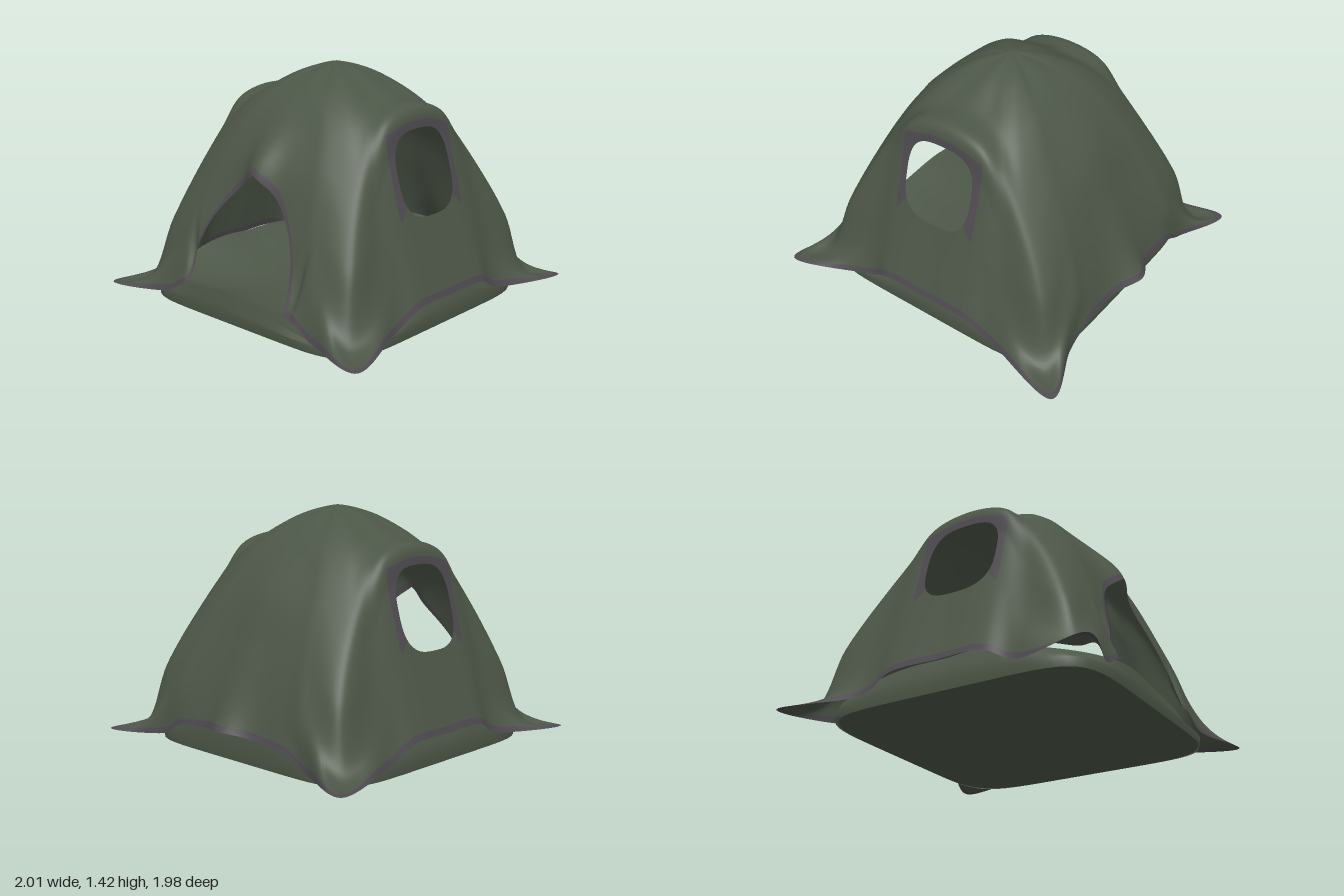
import * as THREE from 'three';

const cloth = new THREE.MeshStandardMaterial({ color: 0x4d5748, side: THREE.DoubleSide });
cloth.name = 'olive cloth';
const binding = new THREE.MeshStandardMaterial({ color: 0x4f4b51, side: THREE.DoubleSide });
binding.name = 'grey binding';

const APEX = [0, 1.44, 0];
// Seam lines of one quarter, apex to hem, from the side middle round to the front middle
const SEAMS = [
  [[.22, 1.355, 0], [.42, 1.245, 0], [.59, 1.21, 0], [.63, 1.02, 0], [.73, .65, 0], [.87, .17, 0]],
  [[.22, 1.345, .08], [.42, 1.225, .15], [.59, 1.165, .23], [.64, .97, .25], [.73, .64, .27], [.87, .165, .28]],
  [[.22, 1.34, .13], [.42, 1.2, .26], [.58, 1.03, .37], [.68, .7, .43], [.79, .3, .47], [.86, .07, .5]],
  [[.2, 1.34, .18], [.41, 1.16, .35], [.58, .84, .53], [.72, .46, .69], [.825, .085, .81], [1, .053, .955]],
  [[.14, 1.35, .19], [.29, 1.19, .38], [.4, .93, .55], [.48, .62, .69], [.56, .3, .8], [.62, .06, .87]],
  [[.09, 1.35, .19], [.19, 1.21, .38], [.28, .93, .57], [.33, .64, .69], [.37, .35, .79], [.41, .15, .86]],
  [[0, 1.36, .19], [0, 1.22, .38], [0, .97, .58], [0, .65, .69], [0, .35, .79], [0, .15, .87]],
];
const STEPS = 14, ROWS = 64, COLS = 24 * STEPS;
const bell = (d, w) => Math.exp(-((d / w) ** 2));

// Back is a copy of the front, fuller in its lower half
function place([x, y, z], sx, sz) {
  const fuller = .1 * Math.sin(Math.PI * (y / 1.44) ** .6);
  const k = sz > 0 ? 1 : 1 + fuller - .055 * (1 - Math.min(1, x * x / .9));
  return new THREE.Vector3(x * sx * (sz < 0 && x > .9 ? .975 : 1), y, z * sz * k);
}

// All 24 seams, mirrored around the four quarters
function allSeams() {
  const make = (i, sx, sz) => new THREE.CatmullRomCurve3([APEX, ...SEAMS[i]].map(p => place(p, sx, sz)));
  const list = [];
  for (let i = 0; i < 6; i++) list.push(make(i, 1, 1));
  for (let i = 6; i > 0; i--) list.push(make(i, -1, 1));
  for (let i = 0; i < 6; i++) list.push(make(i, -1, -1));
  for (let i = 6; i > 0; i--) list.push(make(i, 1, -1));
  return list;
}

// Rounded apex, pulled peaks over the door and at the back hem, a pleat beside each door edge
function drape(p, v) {
  p.y -= .024 * Math.exp(-Math.hypot(p.x, p.z) / .08);
  if (p.z > .3) {
    p.z += .07 * bell(p.x, .1) * bell(p.y - .85, .2);
    const pleat = Math.abs(p.x) - (.41 + .14 * (p.y - .2));
    p.z -= .03 * bell(pleat, .025) * bell(p.y - .3, .16);
  } else if (p.z < 0) {
    p.z -= .085 * bell(p.x, .13) * v ** 5;
    p.y += .05 * bell(p.x, .2) * v ** 5;
  }
  return p;
}

// Distance-like fields: [opening, bound edge], negative inside
function fields(p, hem) {
  let hole = 1, edge = p.distanceTo(hem) - .04;
  if (p.z > .3) {
    const s = Math.max(0, (p.y - .15) / .7);
    const door = Math.abs(p.x + .02 * Math.max(0, 1 - s)) - .395 * (1 - s ** 2.7);
    hole = door;
    edge = Math.min(edge, door - .018 - .045 * THREE.MathUtils.smoothstep(p.y, .55, .85));
  } else if (Math.abs(p.x) > .45) {
    const z = Math.abs(p.z - .01), y = Math.abs(p.y - .86);
    hole = (((z / .232) ** 3 + (y / .24) ** 3) ** (1 / 3) - 1) * .23;
    const top = 1.145 - .25 * Math.max(0, z - .08), bottom = .61 + 1.3 * (.28 - z);
    edge = Math.min(edge, Math.max(z - .28, p.y - top, bottom - p.y));
  }
  return [hole, edge];
}

// Keeps the part of a polygon where sign * field is positive
function clip(poly, f, sign) {
  const out = [];
  poly.forEach((a, i) => {
    const b = poly[(i + 1) % poly.length];
    const fa = a.f[f] * sign, fb = b.f[f] * sign;
    if (fa >= 0) out.push(a);
    if ((fa >= 0) !== (fb >= 0)) {
      const t = fa / (fa - fb);
      out.push({
        p: a.p.clone().lerp(b.p, t), n: a.n.clone().lerp(b.n, t).normalize(),
        f: a.f.map((q, j) => q + (b.f[j] - q) * t),
      });
    }
  });
  return out;
}

// Closed rings of points joined into an indexed surface with smooth normals
function ringSurface(rings) {
  const n = rings[0].length, index = [];
  for (let r = 0; r < rings.length - 1; r++) {
    for (let c = 0; c < n; c++) {
      const a = r * n + c, b = r * n + (c + 1) % n;
      index.push(a, b, a + n, b, b + n, a + n);
    }
  }
  const geo = new THREE.BufferGeometry().setFromPoints(rings.flat());
  geo.setIndex(index);
  geo.computeVertexNormals();
  return geo;
}

function namedMesh(geo, material, name) {
  const m = new THREE.Mesh(geo, material);
  m.name = name;
  return m;
}

// Canopy, cut by the door and windows and split into cloth and bound edges
function buildCanopy() {
  const seams = allSeams(), rings = [];
  for (let r = 0; r <= ROWS; r++) {
    const loop = new THREE.CatmullRomCurve3(seams.map(s => s.getPoint(r / ROWS)), true, 'catmullrom', .5);
    const ring = [];
    for (let c = 0; c < COLS; c++) {
      ring.push(drape(r ? loop.getPoint(c / COLS) : new THREE.Vector3(...APEX), r / ROWS));
    }
    rings.push(ring);
  }
  const full = ringSurface(rings), nor = full.attributes.normal;
  const verts = rings.flat().map((p, i) => ({
    p,
    n: i < COLS ? new THREE.Vector3(0, 1, 0) : new THREE.Vector3().fromBufferAttribute(nor, i),
    f: fields(p, rings[ROWS][i % COLS]),
  }));
  const idx = full.index.array;
  const part = (sign, material, name) => {
    const P = [], N = [];
    for (let i = 0; i < idx.length; i += 3) {
      const poly = clip(clip([verts[idx[i]], verts[idx[i + 1]], verts[idx[i + 2]]], 0, 1), 1, sign);
      for (let k = 1; k < poly.length - 1; k++) {
        for (const q of [poly[0], poly[k], poly[k + 1]]) {
          P.push(q.p.x, q.p.y, q.p.z);
          N.push(q.n.x, q.n.y, q.n.z);
        }
      }
    }
    const geo = new THREE.BufferGeometry();
    geo.setAttribute('position', new THREE.Float32BufferAttribute(P, 3));
    geo.setAttribute('normal', new THREE.Float32BufferAttribute(N, 3));
    return namedMesh(geo, material, name);
  };
  return [part(1, cloth, 'canopy'), part(-1, binding, 'boundEdges')];
}

// Floor: flat base, soft outer wall, and a dished inner sheet high at the back and low at the door
function buildFloor() {
  const ring = (size, height, e) => {
    const pts = [];
    for (let i = 0; i < 128; i++) {
      const a = i / 128 * Math.PI * 2, c = Math.cos(a), s = Math.sin(a);
      const k = size / (Math.abs(c) ** e + Math.abs(s) ** e) ** (1 / e);
      pts.push(new THREE.Vector3(c * k, height(s, c), s * k * 1.003 + .017));
    }
    return pts;
  };
  const rim = (s, c) => (s > 0 ? .2 - .06 * s * s - .08 * c * s : .2 + .1 * s * s) - .09 * (2 * s * c) ** 4;
  const wall = ring(.8, rim, 5).map(p => (p.z > .3 ? p.setZ(p.z * 1.03) : p));
  const sides = ringSurface([
    wall, ring(.838, (s, c) => rim(s, c) * .6, 6), ring(.845, () => .05, 7), ring(.84, () => 0, 7),
  ]);
  const base = ringSurface([ring(.84, () => 0, 6), ring(0, () => 0, 6)]);
  const dish = [0, .2, .4, .55, .7, .8, .9, 1].map(f =>
    wall.map(p => new THREE.Vector3(p.x * f, .03 + (p.y - .03) * f ** 4, p.z * f)));
  return [
    namedMesh(sides, cloth, 'floorWall'),
    namedMesh(base, cloth, 'floorBase'),
    namedMesh(ringSurface(dish), cloth, 'floorSheet'),
  ];
}

export function createModel() {
  const tent = new THREE.Group();
  tent.name = 'tent';
  tent.add(...buildCanopy(), ...buildFloor());
  return tent;
}
